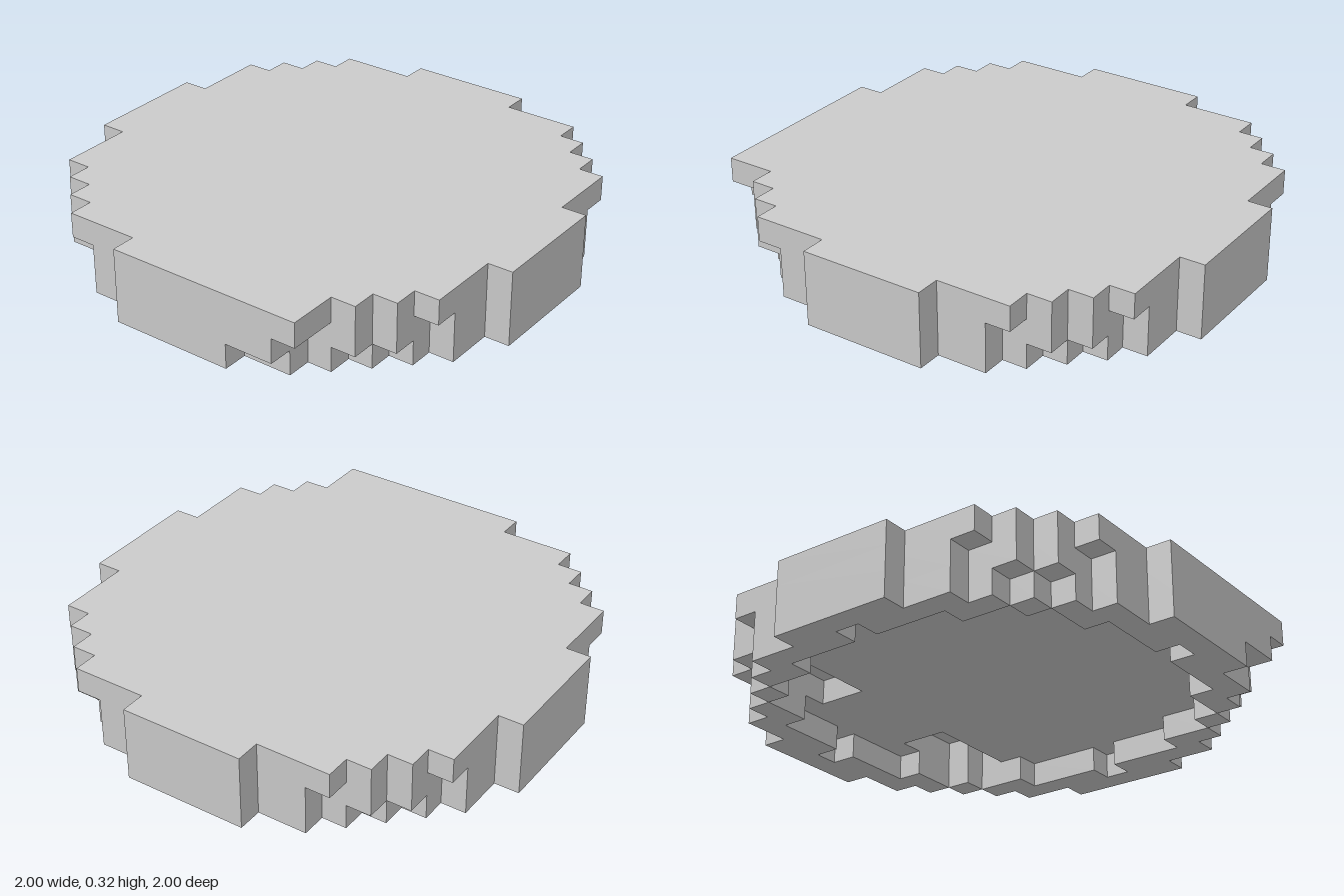
import * as THREE from 'three';

const CELL = 2 / 19; // the disc is 19 cells wide and 3 cells high

// Stepped counter-clockwise outline from cell columns [x, zMin, zMax], ordered by x
function stepped(columns, Type) {
  const near = [], far = [];
  for (const [x, z0, z1] of columns) {
    near.push([x - 0.5, z0 - 0.5], [x + 0.5, z0 - 0.5]);
    far.unshift([x + 0.5, z1 + 0.5], [x - 0.5, z1 + 0.5]);
  }
  let pts = near.concat(far);
  // drop repeated points, then points on a straight run
  pts = pts.filter((p, i) => {
    const q = pts[(i + 1) % pts.length];
    return p[0] !== q[0] || p[1] !== q[1];
  });
  pts = pts.filter((p, i) => {
    const a = pts[(i + pts.length - 1) % pts.length], b = pts[(i + 1) % pts.length];
    return !((a[0] === p[0] && p[0] === b[0]) || (a[1] === p[1] && p[1] === b[1]));
  });
  return new Type(pts.map(([x, z]) => new THREE.Vector2(x * CELL, z * CELL)));
}

// Round block disc: half[i] is the half depth in cells at |x| = i;
// extra widens the front row over x = 3 .. extra
function disc(half, extra = 0) {
  const columns = [], n = half.length - 1;
  for (let x = -n; x <= n; x++) {
    const h = half[Math.abs(x)];
    columns.push([x, -h, x >= 3 && x <= extra ? 9 : h]);
  }
  return columns;
}

export function createModel() {
  const group = new THREE.Group();
  group.name = 'blockDisc';
  const material = new THREE.MeshStandardMaterial({ color: 0xcccccc, flatShading: true });

  // Shallow round recess under the disc, and two deeper pockets at its back
  const recess = disc([8, 7, 7, 7, 6, 6, 5, 3, 0]);
  const pocketLeft = [[3, -6, -5], [4, -6, -5], [5, -6, -5], [6, -5, -5]];
  const pocketRight = pocketLeft.map(([x, a, b]) => [-x, a, b]).reverse();

  const layers = [
    { name: 'bottomRim', outline: disc([9, 9, 9, 8, 8, 7, 6, 5, 4, 2]), holes: [recess] },
    { name: 'middleLayer', outline: disc([9, 9, 9, 8, 8, 7, 7, 6, 4, 2], 4), holes: [pocketLeft, pocketRight] },
    { name: 'topLayer', outline: disc([9, 9, 9, 8, 8, 8, 7, 6, 5, 2], 5), holes: [] },
  ];

  layers.forEach(({ name, outline, holes }, i) => {
    const shape = stepped(outline, THREE.Shape);
    for (const hole of holes) shape.holes.push(stepped(hole, THREE.Path));
    const geometry = new THREE.ExtrudeGeometry(shape, { depth: CELL, bevelEnabled: false });
    geometry.rotateX(Math.PI / 2).translate(0, (i + 1) * CELL, 0);
    const mesh = new THREE.Mesh(geometry, material);
    mesh.name = name;
    group.add(mesh);
  });
  return group;
}
